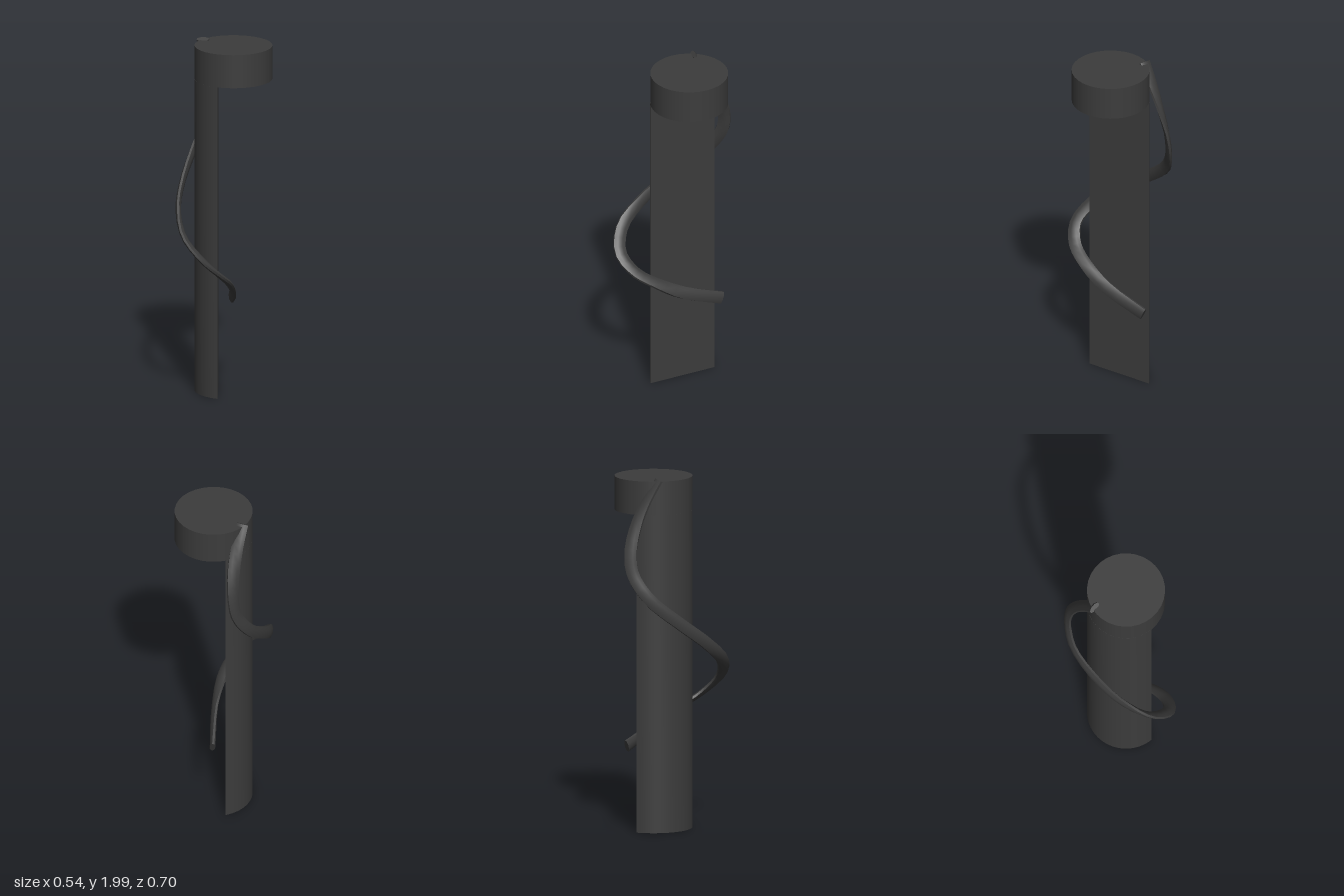
import * as THREE from 'three';
import { toCreasedNormals } from 'three/addons/utils/BufferGeometryUtils.js';

const CX = 0.05, CZ = -0.025, R = 0.217, TOP = 1.98, CAP_BOTTOM = 1.79;

// Flattened strap swept along a path; each key holds a position and the direction of the strap's width
function strapGeometry(keys, halfWidth, halfThick, steps, sides) {
  const path = new THREE.CatmullRomCurve3(keys.map(k => new THREE.Vector3(...k[0])));
  const widths = new THREE.CatmullRomCurve3(keys.map(k => new THREE.Vector3(...k[1])));
  const pos = [], index = [];
  for (let i = 0; i <= steps; i++) {
    const t = i / steps;
    const p = path.getPoint(t), tan = path.getTangent(t);
    const w = widths.getPoint(t);
    w.addScaledVector(tan, -w.dot(tan)).normalize();
    const n = new THREE.Vector3().crossVectors(tan, w);
    for (let j = 0; j < sides; j++) {
      const a = (j + 0.5) / sides * Math.PI * 2;
      const q = p.clone().addScaledVector(w, Math.cos(a) * halfWidth).addScaledVector(n, Math.sin(a) * halfThick);
      pos.push(q.x, q.y, q.z);
    }
  }
  for (let i = 0; i < steps; i++) for (let j = 0; j < sides; j++) {
    const k = (j + 1) % sides, a = i * sides + j, b = i * sides + k;
    index.push(a, b, a + sides, b, b + sides, a + sides);
  }
  // End caps
  const last = steps * sides;
  for (let j = 1; j < sides - 1; j++) {
    index.push(0, j + 1, j, last, last + j, last + j + 1);
  }
  const g = new THREE.BufferGeometry();
  g.setAttribute('position', new THREE.Float32BufferAttribute(pos, 3));
  g.setIndex(index);
  return toCreasedNormals(g, 0.7);
}

export function createModel() {
  const group = new THREE.Group();
  const charcoal = new THREE.MeshStandardMaterial({ color: 0x3c3c3c });
  charcoal.name = 'charcoal';
  const add = (name, geometry) => {
    const mesh = new THREE.Mesh(geometry, charcoal);
    mesh.name = name;
    group.add(mesh);
    return mesh;
  };

  // Round head overhanging the shaft
  const head = add('head', new THREE.CylinderGeometry(R, R, TOP - CAP_BOTTOM, 32));
  head.position.set(CX, (TOP + CAP_BOTTOM) / 2, CZ);

  // Shaft: a slice of the same cylinder with a flat inner face
  const half = Math.acos(0.085 / R);
  const slice = new THREE.Shape();
  slice.absarc(0, 0, R, Math.PI - half, Math.PI + half, false);
  slice.closePath();
  const shaftGeo = new THREE.ExtrudeGeometry(slice, { depth: CAP_BOTTOM, bevelEnabled: false, curveSegments: 14 });
  shaftGeo.rotateX(-Math.PI / 2);
  add('shaft', toCreasedNormals(shaftGeo, 0.6)).position.set(CX, 0, CZ);

  // Strap winding from the top of the head around the shaft
  add('strap', strapGeometry([
    [[-0.122, 1.985, -0.135], [1, 0, 0.2]],
    [[-0.1, 1.88, -0.2], [1, 0, 0]],
    [[-0.085, 1.75, -0.265], [0.9, 0, -0.3]],
    [[-0.085, 1.6, -0.31], [0.75, 0, -0.65]],
    [[-0.105, 1.47, -0.31], [0.6, -0.1, -0.75]],
    [[-0.17, 1.33, -0.245], [0.3, -0.5, -0.75]],
    [[-0.235, 1.18, -0.07], [0.05, -0.62, -0.78]],
    [[-0.255, 1.06, 0.1], [0, -0.65, -0.75]],
    [[-0.215, 0.94, 0.255], [0.3, -0.5, -0.8]],
    [[-0.115, 0.83, 0.318], [0, 0, -1]],
    [[-0.03, 0.74, 0.27], [-0.45, 0.1, -0.9]],
    [[0.02, 0.67, 0.17], [-0.75, 0.4, -0.5]],
    [[0.046, 0.58, 0.01], [-0.4, 0.85, -0.3]],
    [[0.036, 0.48, -0.235], [-0.15, 1, -0.4]],
  ], 0.037, 0.016, 40, 8));

  return group;
}
